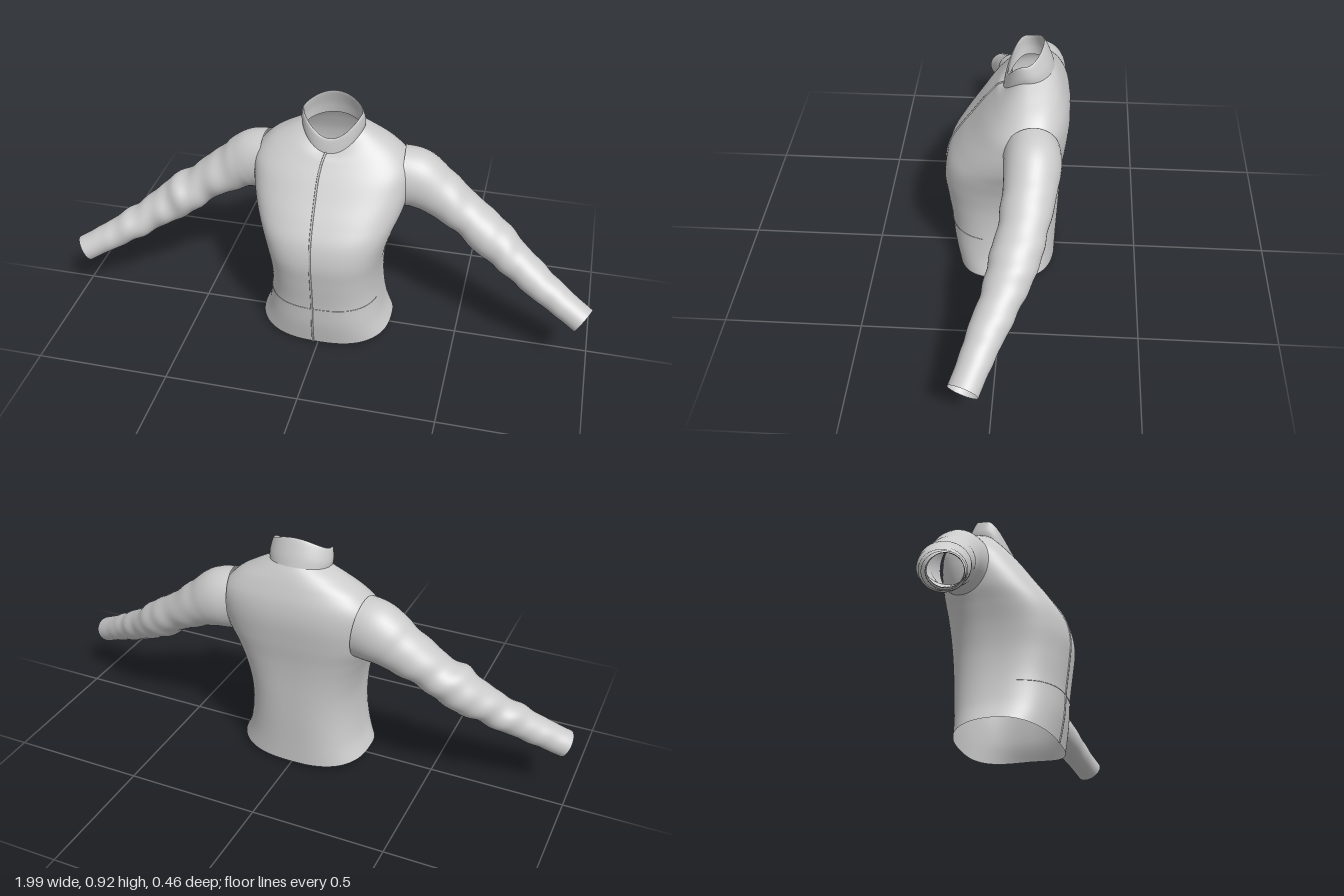
import * as THREE from 'three';

const material = new THREE.MeshStandardMaterial({ color: 0xcccccc, side: THREE.DoubleSide });

// Smooth interpolation along rows of numbers, t in 0..1
function sample(rows, t) {
  const n = rows.length - 1;
  const i = Math.min(Math.floor(t * n), n - 1);
  const f = t * n - i;
  const at = (k) => rows[Math.max(0, Math.min(n, k))];
  return rows[i].map((b, c) => {
    const a = at(i - 1)[c], d = at(i + 1)[c], e = at(i + 2)[c];
    return b + 0.5 * f * (d - a + f * (2 * a - 5 * b + 4 * d - e + f * (3 * (b - d) + e - a)));
  });
}

// Surface made of closed loops: point(t along, angle around)
function loft(name, point, rows, cols) {
  const pos = [], index = [];
  for (let r = 0; r <= rows; r++) {
    for (let c = 0; c < cols; c++) {
      pos.push(...point(r / rows, (c / cols) * Math.PI * 2).toArray());
      if (r === rows) continue;
      const a = r * cols + c, b = r * cols + ((c + 1) % cols);
      index.push(a, a + cols, b, b, a + cols, b + cols);
    }
  }
  const geo = new THREE.BufferGeometry();
  geo.setAttribute('position', new THREE.Float32BufferAttribute(pos, 3));
  geo.setIndex(index);
  geo.computeVertexNormals();
  const mesh = new THREE.Mesh(geo, material);
  mesh.name = name;
  return mesh;
}

// Body rings: front y, back y, side y, front z, back z, side z, half width, squareness
const bodyRings = [
  [0.004, 0.015, 0.035, 0.182, -0.187, 0, 0.25, 2.6],
  [0.10, 0.10, 0.10, 0.200, -0.190, 0, 0.223, 2.6],
  [0.20, 0.20, 0.20, 0.209, -0.195, 0, 0.208, 2.6],
  [0.30, 0.30, 0.30, 0.222, -0.199, 0, 0.208, 2.7],
  [0.39, 0.39, 0.39, 0.230, -0.203, -0.01, 0.224, 2.8],
  [0.47, 0.47, 0.47, 0.215, -0.210, -0.03, 0.25, 2.8],
  [0.54, 0.55, 0.54, 0.175, -0.221, -0.06, 0.277, 2.7],
  [0.61, 0.64, 0.62, 0.125, -0.229, -0.08, 0.292, 2.6],
  [0.67, 0.71, 0.69, 0.083, -0.222, -0.09, 0.288, 2.5],
  [0.71, 0.77, 0.75, 0.053, -0.202, -0.09, 0.24, 2.3],
  [0.735, 0.81, 0.795, 0.033, -0.183, -0.085, 0.17, 2.1],
  [0.748, 0.835, 0.825, 0.012, -0.166, -0.08, 0.112, 2],
];

function ringPoint(rings, t, angle) {
  const [yF, yB, yS, zF, zB, zS, w, n] = sample(rings, t);
  const s = Math.sin(angle), c = Math.cos(angle);
  const k = Math.pow(Math.pow(Math.abs(s), n) + Math.pow(Math.abs(c), n), -1 / n);
  const depth = c * k;
  const y = yS + ((c > 0 ? yF : yB) - yS) * depth * depth;
  return new THREE.Vector3(s * k * w, y, zS + Math.abs(depth) * ((c > 0 ? zF : zB) - zS));
}

// Collar: up the outside, over the rim, down the inside
const collarRings = [
  [0.742, 0.83, 0.82, 0.014, -0.168, -0.08, 0.114, 2],
  [0.77, 0.87, 0.845, 0.010, -0.156, -0.075, 0.117, 2],
  [0.797, 0.92, 0.88, 0.004, -0.134, -0.065, 0.112, 2],
  [0.799, 0.922, 0.882, -0.003, -0.128, -0.065, 0.106, 2],
  [0.77, 0.87, 0.845, 0.000, -0.145, -0.07, 0.107, 2],
  [0.742, 0.825, 0.81, 0.003, -0.155, -0.075, 0.104, 2],
];

// Sleeve stations: centre x, y, z, upright radius, sideways radius
const sleeveStations = [
  [0.25, 0.625, -0.10, 0.118, 0.100],
  [0.31, 0.615, -0.105, 0.114, 0.101],
  [0.39, 0.573, -0.10, 0.092, 0.093],
  [0.50, 0.503, -0.083, 0.074, 0.086],
  [0.60, 0.433, -0.057, 0.072, 0.081],
  [0.70, 0.365, -0.022, 0.064, 0.072],
  [0.80, 0.305, 0.020, 0.058, 0.064],
  [0.89, 0.255, 0.053, 0.052, 0.056],
  [0.968, 0.214, 0.082, 0.050, 0.054],
];

function sleeve(side, name, foldSize) {
  const up = new THREE.Vector3(0, 1, 0);
  return loft(name, (t, a) => {
    const [x, y, z, ru, rs] = sample(sleeveStations, t);
    const before = sample(sleeveStations, Math.max(0, t - 0.04));
    const after = sample(sleeveStations, Math.min(1, t + 0.04));
    const dir = new THREE.Vector3(after[0] - before[0], after[1] - before[1], after[2] - before[2]).normalize();
    const across = new THREE.Vector3().crossVectors(up, dir).normalize();
    const top = new THREE.Vector3().crossVectors(dir, across);
    // Cloth folds: strongest round the elbow, fading to the cuff and shoulder
    const fade = Math.sin(Math.PI * Math.min(1, Math.max(0, (t - 0.15) / 0.83)));
    const wave = Math.sin(t * 46 + 1.3 * Math.sin(a + side)) + 0.6 * Math.sin(t * 71 + 2 * a);
    const elbow = Math.exp(-(((t - 0.5) / 0.05) ** 2)) * 0.09 * foldSize;
    const k = 1 + fade * foldSize * 0.035 * wave + elbow;
    const p = new THREE.Vector3(x, y, z)
      .addScaledVector(top, Math.cos(a) * ru * k)
      .addScaledVector(across, Math.sin(a) * rs * k);
    p.x *= side;
    return p;
  }, 90, 40);
}

// Thin raised line following the body
function seam(name, place, radius) {
  const pts = [];
  for (let i = 0; i <= 30; i++) pts.push(ringPoint(bodyRings, ...place(i / 30)));
  const mesh = new THREE.Mesh(
    new THREE.TubeGeometry(new THREE.CatmullRomCurve3(pts), 60, radius, 6), material);
  mesh.name = name;
  return mesh;
}

export function createModel() {
  const jacket = new THREE.Group();
  jacket.name = 'jacket';
  jacket.add(loft('body', (t, a) => ringPoint(bodyRings, t, a), 88, 96));
  jacket.add(loft('collar', (t, a) => ringPoint(collarRings, t, a), 30, 64));
  jacket.add(sleeve(1, 'leftSleeve', 0.8), sleeve(-1, 'rightSleeve', 1.3));

  // Front closure and waist seam
  jacket.add(seam('frontClosure', (s) => [s, -0.08], 0.004));
  jacket.add(seam('waistSeam', (s) => [0.165, (s - 0.5) * 2.4], 0.0015));
  return jacket;
}
